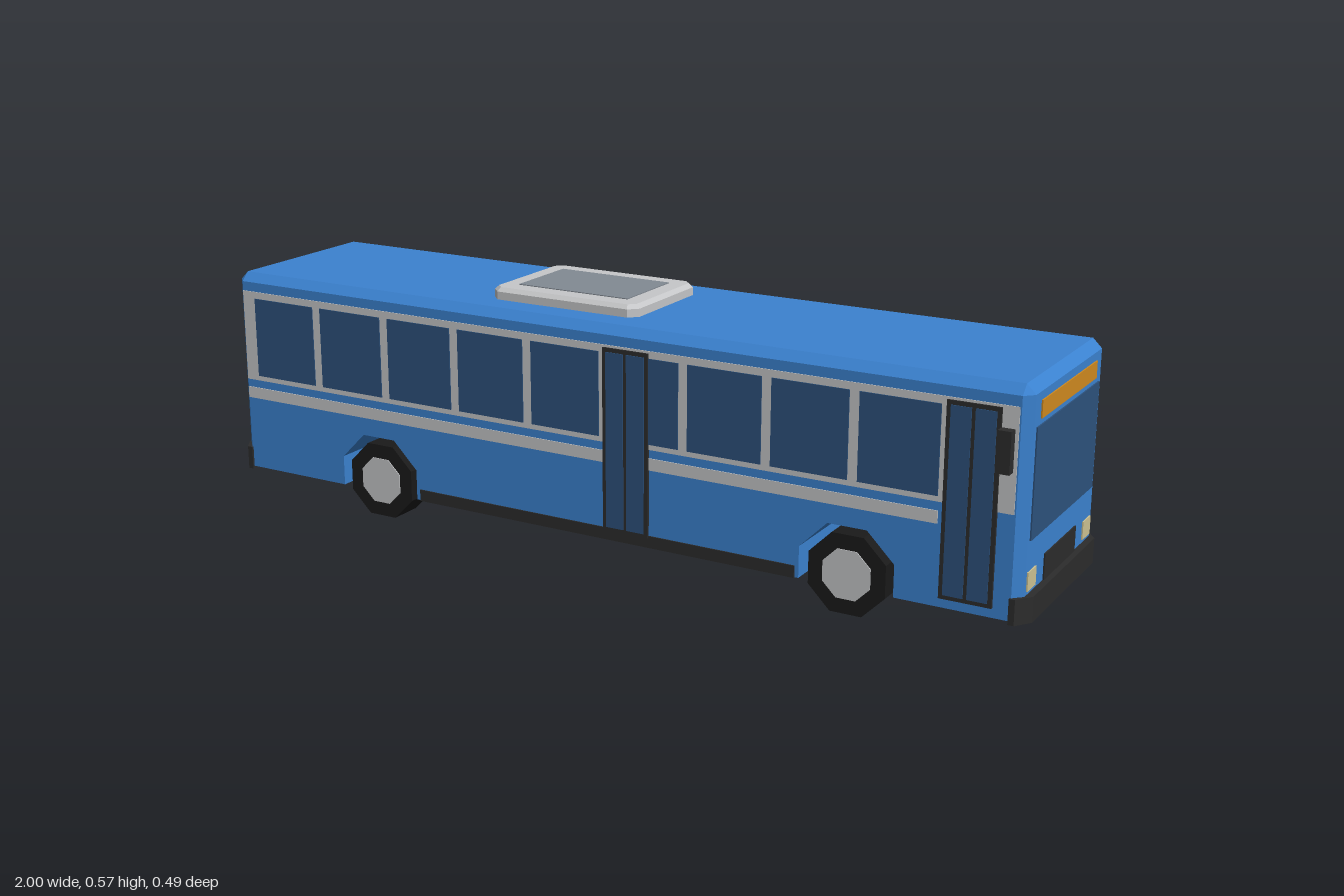
import * as THREE from 'three';

const mat = (name, color) => {
  const m = new THREE.MeshStandardMaterial({ color });
  m.name = name;
  return m;
};

export function createModel() {
  const bus = new THREE.Group();
  bus.name = 'bus';
  const blue = mat('body blue', 0x3b82d0);
  const glass = mat('window blue', 0x2d527d);
  const trim = mat('dark trim', 0x2c2c2c);
  const tyre = mat('tyre black', 0x1a1a1a);
  const grey = mat('light grey', 0xc6c7c9);
  const vent = mat('hatch panel grey', 0x828a93);
  const orange = mat('orange', 0xcf8a20);
  const cream = mat('headlight cream', 0xcdc292);

  const END = 0.985, SIDE = 0.22, TOP = 0.54, BASE = 0.06, CUT = 0.02;
  const AXLES = [-0.577, 0.612], HUB_Y = 0.0865;

  const add = (name, geometry, material) => {
    const mesh = new THREE.Mesh(geometry, material);
    mesh.name = name;
    bus.add(mesh);
    return mesh;
  };
  // Box given by its limits on each axis
  const block = (name, material, x0, x1, y0, y1, z0, z1) => {
    const g = new THREE.BoxGeometry(x1 - x0, y1 - y0, z1 - z0);
    g.translate((x0 + x1) / 2, (y0 + y1) / 2, (z0 + z1) / 2);
    return add(name, g, material);
  };
  // Thin plate on a side wall (s = 1 or -1), t is how far it stands out
  const sidePlate = (name, material, s, x0, x1, y0, y1, t) => {
    const a = s * (SIDE - 0.001), b = s * (SIDE + t);
    block(name, material, x0, x1, y0, y1, Math.min(a, b), Math.max(a, b));
  };
  // Thin plate on an end wall (s = 1 front end, -1 rear end)
  const endPlate = (name, material, s, z0, z1, y0, y1, t = 0.003) => {
    const a = s * (END - 0.001), b = s * (END + t);
    block(name, material, Math.min(a, b), Math.max(a, b), y0, y1, z0, z1);
  };
  const shapeOf = pts => new THREE.Shape(pts.map(p => new THREE.Vector2(p[0], p[1])));

  // Body: side profile with octagonal wheel arches, run across the width
  const R = 0.106, h = R * Math.tan(Math.PI / 8);
  const profile = [[-END, BASE]];
  for (const x of AXLES) {
    profile.push([x - R, BASE], [x - R, HUB_Y + h], [x - h, HUB_Y + R],
      [x + h, HUB_Y + R], [x + R, HUB_Y + h], [x + R, BASE]);
  }
  profile.push([END, BASE], [END, TOP - CUT], [END - CUT, TOP], [-END + CUT, TOP], [-END, TOP - CUT]);
  const body = new THREE.ExtrudeGeometry(shapeOf(profile), { depth: 2 * SIDE, steps: 3, bevelEnabled: false });
  body.translate(0, 0, -SIDE);
  // Pull the outer rings in to chamfer the corners and roof edges
  const p = body.attributes.position;
  for (let i = 0; i < p.count; i++) {
    const z = p.getZ(i);
    if (Math.abs(z) < SIDE - 0.01) {
      p.setZ(i, Math.sign(z) * (SIDE - CUT));
    } else {
      p.setX(i, THREE.MathUtils.clamp(p.getX(i), -END + CUT, END - CUT));
      p.setY(i, Math.min(p.getY(i), TOP - CUT));
    }
  }
  body.computeVertexNormals();
  add('body', body, blue);

  // Side walls: window band, windows, stripe, skirt and mirrors
  for (const s of [1, -1]) {
    sidePlate('windowBand', grey, s, -0.964, 0.962, 0.281, 0.498, 0.002);
    for (let i = 0; i < 10; i++) {
      const x = -0.928 + i * 0.195;
      sidePlate('sideWindow', glass, s, x, Math.min(x + 0.173, 0.918), 0.293, 0.482, 0.004);
    }
    sidePlate('sideStripe', grey, s, -0.964, 0.806, 0.235, 0.262, 0.002);
    sidePlate('skirt', trim, s, -0.46, 0.497, 0.059, 0.086, 0.003);
    const z = s * 0.231;
    block('mirror', trim, 0.927, 0.955, 0.366, 0.453, z - 0.012, z + 0.012);
  }

  // Double doors on one side
  for (const x of [0.036, 0.816]) {
    sidePlate('doorFrame', trim, 1, x, x + 0.112, 0.081, 0.493, 0.006);
    for (const dx of [0.009, 0.06]) {
      sidePlate('doorLeaf', glass, 1, x + dx, x + dx + 0.043, 0.09, 0.484, 0.008);
    }
  }

  // Front end
  endPlate('windshield', glass, 1, -0.189, 0.189, 0.222, 0.453);
  endPlate('destinationSign', orange, 1, -0.167, 0.167, 0.465, 0.502);
  endPlate('frontGrille', trim, 1, -0.095, 0.095, 0.1, 0.165);
  // Rear end
  endPlate('rearWindow', glass, -1, -0.189, 0.189, 0.305, 0.465);
  endPlate('rearGrille', trim, -1, -0.13, 0.13, 0.122, 0.235);
  for (const s of [1, -1]) {
    endPlate('headlight', cream, 1, s * 0.169 - 0.024, s * 0.169 + 0.024, 0.117, 0.157);
    endPlate('tailLight', orange, -1, s * 0.174 - 0.019, s * 0.174 + 0.019, 0.122, 0.235);
  }

  // Bumpers with chamfered corners
  for (const s of [1, -1]) {
    const g = new THREE.ExtrudeGeometry(shapeOf([[0.962, -0.225], [0.975, -0.225], [1, -0.19],
      [1, 0.19], [0.975, 0.225], [0.962, 0.225]]), { depth: 0.055, bevelEnabled: false });
    g.rotateX(-Math.PI / 2).translate(0, 0.054, 0);
    if (s < 0) g.rotateY(Math.PI);
    add(s > 0 ? 'frontBumper' : 'rearBumper', g, trim);
  }

  // Eight-sided wheels with hubs
  const octagon = (r, w) =>
    new THREE.CylinderGeometry(r, r, w, 8, 1, false, Math.PI / 8).toNonIndexed().rotateX(Math.PI / 2);
  const tyreGeo = octagon(0.0935, 0.08), hubGeo = octagon(0.058, 0.084);
  for (const g of [tyreGeo, hubGeo]) g.computeVertexNormals();
  for (const x of AXLES) for (const s of [1, -1]) {
    add('tyre', tyreGeo, tyre).position.set(x, HUB_Y, s * 0.175);
    add('hub', hubGeo, grey).position.set(x, HUB_Y, s * 0.175);
  }

  // Roof hatch with cut corners and a bevelled top
  const w = 0.188, d = 0.139, c = 0.02;
  const hatch = new THREE.ExtrudeGeometry(shapeOf([[-w + c, -d], [w - c, -d], [w, -d + c], [w, d - c],
    [w - c, d], [-w + c, d], [-w, d - c], [-w, -d + c]]),
  { depth: 0.023, bevelThickness: 0.009, bevelSize: 0.009, bevelOffset: -0.009, bevelSegments: 1 });
  hatch.rotateX(-Math.PI / 2).translate(-0.122, 0.535, 0);
  add('roofHatch', hatch, grey);
  block('hatchPanel', vent, -0.263, 0.019, 0.56, 0.569, -0.091, 0.091);

  return bus;
}
